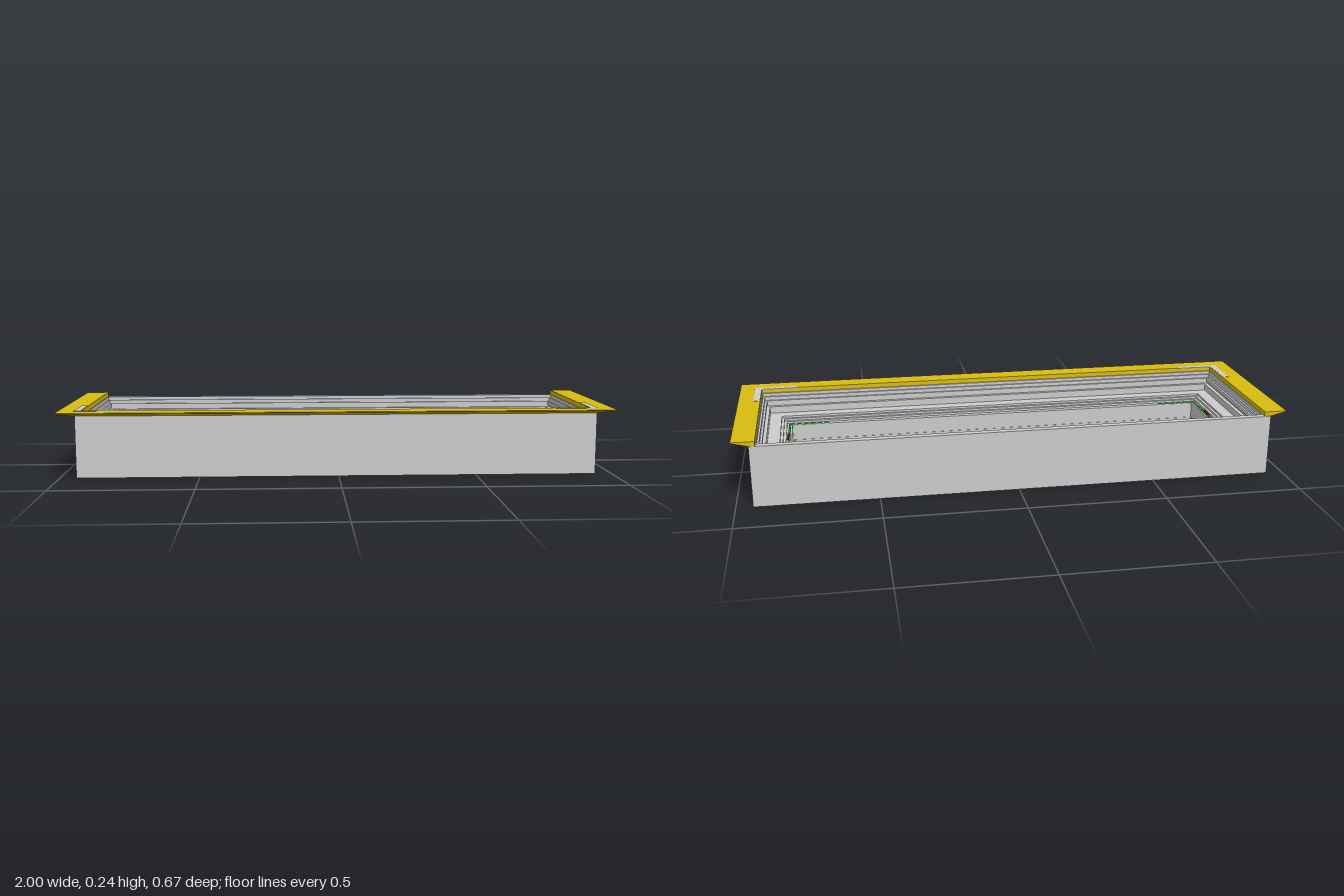
import * as THREE from 'three';

const CZ = -0.027, HX = 0.94, HZ = 0.306; // centre and half sizes of the body

// Sweeps a profile of [inset, y] points along stations [x, z, outX, outZ], with mitred corners
function sweep(profile, stations, closed) {
  const pos = [];
  const at = (s, p) => [s[0] - s[2] * p[0], p[1], s[1] - s[3] * p[0]];
  const n = stations.length, m = profile.length;
  for (let i = 0; i < (closed ? n : n - 1); i++) {
    const s = stations[i], t = stations[(i + 1) % n];
    for (let k = 0; k < m; k++) {
      const a = profile[k], b = profile[(k + 1) % m];
      pos.push(...at(s, a), ...at(t, a), ...at(t, b), ...at(s, a), ...at(t, b), ...at(s, b));
    }
  }
  if (!closed) {
    for (let k = 1; k < m - 1; k++) {
      const [a, b, c] = [profile[0], profile[k], profile[k + 1]];
      const s = stations[0], e = stations[n - 1];
      pos.push(...at(s, a), ...at(s, b), ...at(s, c), ...at(e, a), ...at(e, c), ...at(e, b));
    }
  }
  const g = new THREE.BufferGeometry();
  g.setAttribute('position', new THREE.Float32BufferAttribute(pos, 3));
  g.computeVertexNormals();
  return g;
}

export function createModel() {
  const group = new THREE.Group();
  const mat = (color) => new THREE.MeshStandardMaterial({ color, side: THREE.DoubleSide });
  const grey = mat(0xcccccc), yellow = mat(0xd8bc10), green = mat(0x20d030), red = mat(0x6a2030);
  const add = (name, geometry, material) => {
    const mesh = new THREE.Mesh(geometry, material);
    mesh.name = name;
    group.add(mesh);
    return mesh;
  };
  const box = (name, w, h, d, x, y, z, material) =>
    add(name, new THREE.BoxGeometry(w, h, d), material).position.set(x, y, z);

  // Rectangular frame with a stepped, grooved inside
  const corners = [[-1, -1], [-1, 1], [1, 1], [1, -1]].map(([x, z]) => [x * HX, CZ + z * HZ, x, z]);
  add('frameBody', sweep([
    [0, 0], [0, 0.224], [0.025, 0.224], [0.025, 0.212],
    [0.032, 0.212], [0.032, 0.198], [0.04, 0.198], [0.04, 0.184], [0.036, 0.184], [0.036, 0.176],
    [0.05, 0.176], [0.05, 0.15], [0.095, 0.15], [0.095, 0.142],
    [0.105, 0.142], [0.105, 0.134], [0.115, 0.134], [0.115, 0.126],
    [0.135, 0.126], [0.135, 0.01], [0.12, 0.01], [0.12, 0],
  ], corners, true), grey);

  // Pale strip around the inner wall
  add('innerStrip', sweep([
    [0.134, 0.035], [0.134, 0.065], [0.137, 0.065], [0.137, 0.035],
  ], corners, true), grey);

  // Overhanging trim on three sides, tapering to a thin outer edge
  add('topTrim', sweep([
    [0, 0.224], [-0.06, 0.238], [-0.06, 0.241], [0.022, 0.241], [0.022, 0.224],
  ], [
    [-HX, -0.33, -1, 0], [-HX, 0.28, -1, 0.88], [HX, 0.28, 1, 0.88], [HX, -0.33, 1, 0],
  ], false), yellow);

  for (const s of [-1, 1]) {
    // Corner brackets let into the trim
    box('cornerBracketFront', 0.165, 0.003, 0.022, s * 0.8625, 0.2402, 0.266, grey);
    box('cornerBracketSide', 0.024, 0.003, 0.145, s * 0.932, 0.2402, 0.1825, grey);

    // Dashed green seals along the short sides of the ledge
    for (let i = 0; i < 14; i++) {
      box('sealSide', 0.008, 0.004, 0.018, s * 0.815, 0.127, CZ - 0.169 + i * 0.026, green);
    }
    // Dashed green seals at the ends of the long sides
    for (const t of [-1, 1]) {
      for (let i = 0; i < 6; i++) {
        box('sealEnd', 0.018, 0.004, 0.008, s * (0.805 - i * 0.026), 0.127, CZ + t * 0.177, green);
      }
    }
    box('sideClip', 0.01, 0.006, 0.05, s * 0.82, 0.13, 0.03 + CZ, red);
  }
  return group;
}
